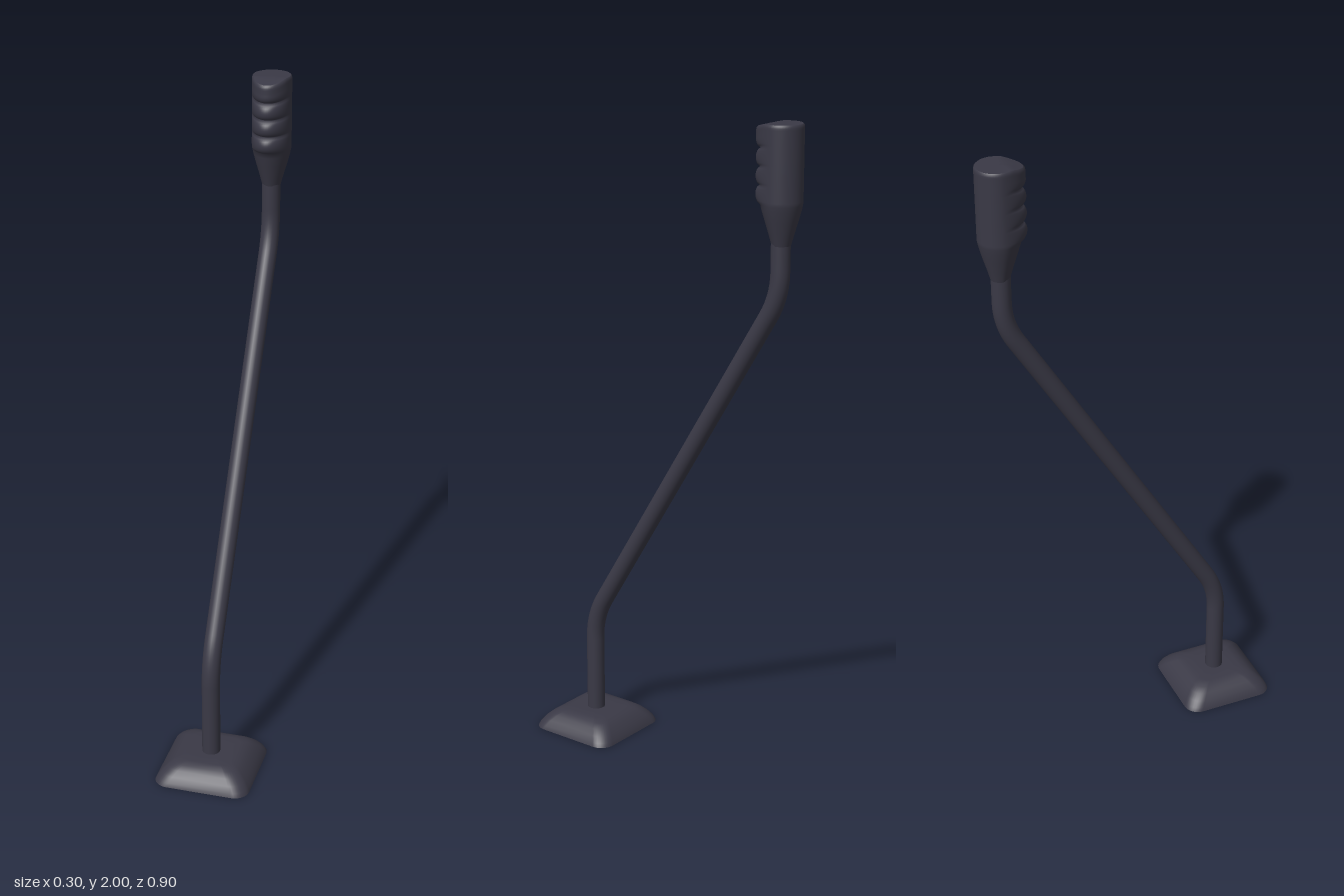
import * as THREE from 'three';

const SEG = 48;

// Skin a stack of closed rings (each a list of [x, y, z]) with smooth normals
function loft(rings, material, name) {
  const n = rings[0].length;
  const index = [];
  for (let i = 0; i < rings.length - 1; i++) {
    for (let j = 0; j < n; j++) {
      const a = i * n + j, b = i * n + (j + 1) % n;
      index.push(a, b, b + n, a, b + n, a + n);
    }
  }
  const geo = new THREE.BufferGeometry();
  geo.setAttribute('position', new THREE.Float32BufferAttribute(rings.flat(2), 3));
  geo.setIndex(index);
  geo.computeVertexNormals();
  const mesh = new THREE.Mesh(geo, material);
  mesh.name = name;
  return mesh;
}

// Rounded square ring with half size h and corner radius r
function squareRing(y, h, r) {
  const ring = [];
  for (let q = 0; q < 4; q++) {
    const mid = (q + 0.5) * Math.PI / 2;
    const cx = Math.sign(Math.sin(mid)) * (h - r), cz = Math.sign(Math.cos(mid)) * (h - r);
    for (let k = 0; k <= 8; k++) {
      const a = (q + k / 8) * Math.PI / 2;
      ring.push([cx + r * Math.sin(a), y, cz + r * Math.cos(a)]);
    }
  }
  return ring;
}

// Teardrop ring: round at the back, drawn out by "front" towards +z
function gripRing(y, r, front, drop = 0) {
  return Array.from({ length: SEG }, (_, j) => {
    const a = j / SEG * Math.PI * 2, c = Math.cos(a);
    const z = c > 0 ? front * c : r * c;
    const x = r * Math.sin(a) * (1 - 0.12 * Math.max(0, c));
    const fall = drop * Math.max(0, (z - 0.03) / 0.05);
    return [x, y - fall, z];
  });
}

export function createModel() {
  const group = new THREE.Group();
  const dark = new THREE.MeshStandardMaterial({ color: 0x3a3946, side: THREE.DoubleSide });
  dark.name = 'dark plastic';

  // Hollow base cover, open underneath
  const profile = [[0, 0.148, 0.045], [0.012, 0.143, 0.045], [0.028, 0.131, 0.043],
    [0.043, 0.115, 0.04], [0.054, 0.098, 0.035], [0.06, 0.076, 0.03], [0.06, 0.04, 0.02], [0.06, 0, 0]];
  const base = loft(profile.map(p => squareRing(...p)), dark, 'baseCover');
  base.position.z = 0.3;
  group.add(base);

  // Cranked shaft: straight runs joined by rounded bends
  const P = (y, z) => new THREE.Vector3(0, y, z);
  const path = new THREE.CurvePath();
  path.add(new THREE.LineCurve3(P(0, 0.303), P(0.3, 0.303)));
  path.add(new THREE.QuadraticBezierCurve3(P(0.3, 0.303), P(0.375, 0.303), P(0.44, 0.264)));
  path.add(new THREE.LineCurve3(P(0.44, 0.264), P(1.445, -0.346)));
  path.add(new THREE.QuadraticBezierCurve3(P(1.445, -0.346), P(1.51, -0.387), P(1.585, -0.387)));
  path.add(new THREE.LineCurve3(P(1.585, -0.387), P(1.7, -0.387)));
  const shaft = new THREE.Mesh(new THREE.TubeGeometry(path, 120, 0.028, 24), dark);
  shaft.name = 'shaft';
  group.add(shaft);

  const end = new THREE.Mesh(new THREE.CircleGeometry(0.028, 24), dark);
  end.name = 'shaftEnd';
  end.rotation.x = Math.PI / 2;
  end.position.set(0, 0.001, 0.303);
  group.add(end);

  // Handle: flared neck, then finger ridges along the front
  const rings = [[1.66, 0.028, 0.028], [1.69, 0.036, 0.037], [1.73, 0.048, 0.05],
    [1.76, 0.056, 0.06], [1.775, 0.059, 0.064]].map(p => gripRing(...p));
  const ridges = 4, steps = 10, low = 1.775, pitch = 0.054;
  for (let i = 1; i <= ridges * steps; i++) {
    const t = i / steps;
    const bump = Math.sqrt(Math.abs(Math.sin(Math.PI * Math.min(t, 3.6))));
    rings.push(gripRing(low + t * pitch, 0.06, 0.064 + 0.018 * bump, 0.014 * t / ridges));
  }
  // Softened rim and flat top sloping away at the front
  const top = [[1.997, 0.059, 0.08], [2, 0.056, 0.076]].map(p => gripRing(...p, 0.014));
  rings.push(...top, top[1]);
  for (const s of [0.75, 0.5, 0.25, 0]) rings.push(gripRing(2, 0.056 * s, 0.076 * s, 0.014));
  const handle = loft(rings, dark, 'handle');
  handle.position.z = -0.388;
  group.add(handle);

  return group;
}
